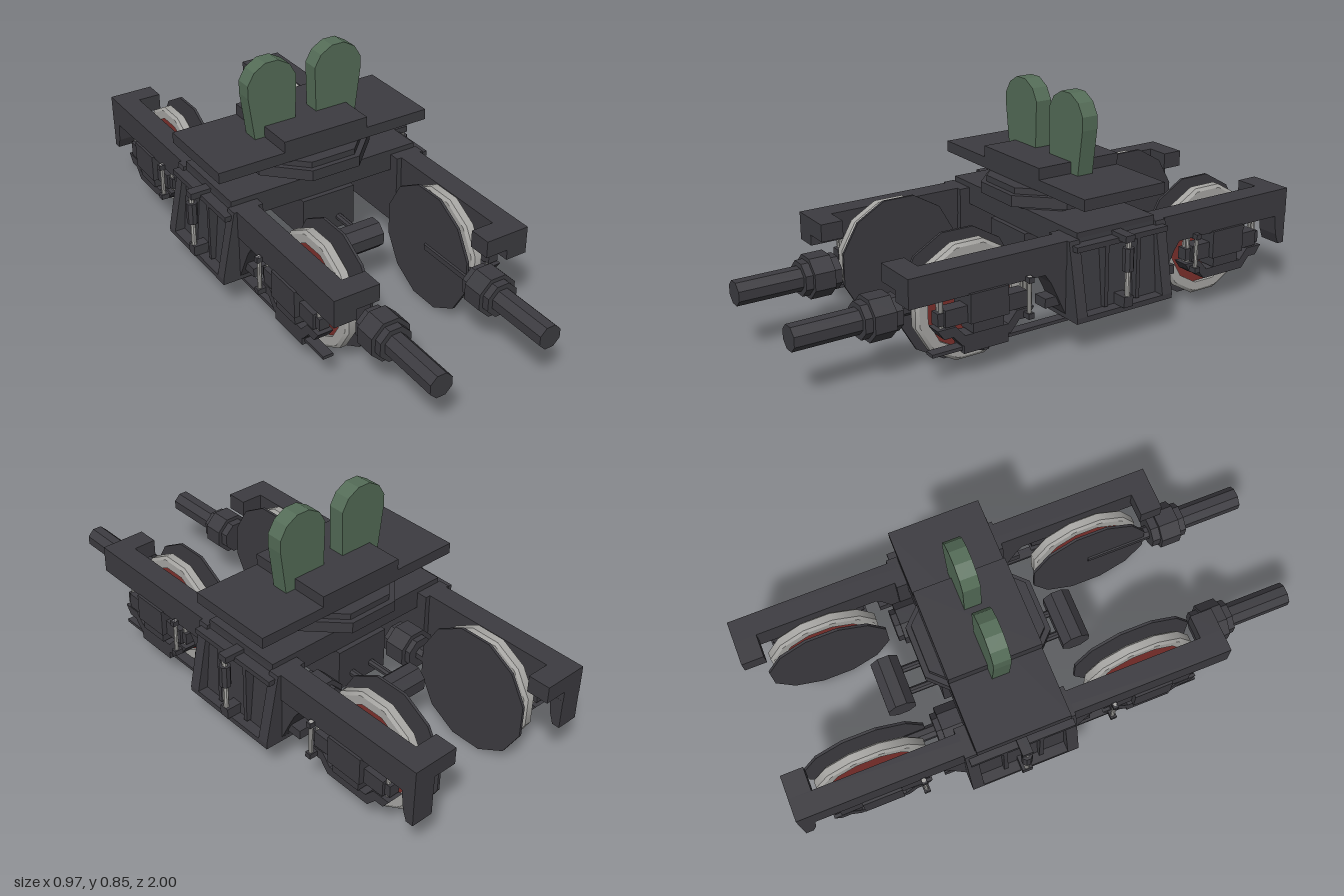
import * as THREE from 'three';

const mat = (name, color) => Object.assign(new THREE.MeshStandardMaterial({ color }), { name });
const CZ = -0.165; // centre of the truck along z

export function createModel() {
  const iron = mat('dark iron', 0x3c3b40);
  const steel = mat('wheel steel', 0xa8a7a4);
  const red = mat('wheel red', 0x7d302c);
  const green = mat('green stop', 0x546c57);
  const model = new THREE.Group();
  model.name = 'railTruck';

  const add = (name, geo, material = iron) => {
    const m = new THREE.Mesh(geo, material);
    m.name = name;
    model.add(m);
    return m;
  };
  const flat = (geo) => {
    const g = geo.index ? geo.toNonIndexed() : geo;
    g.computeVertexNormals();
    return g;
  };
  // box from its limits on each axis
  const box = (name, x0, x1, y0, y1, z0, z1, material) => {
    const g = new THREE.BoxGeometry(Math.abs(x1 - x0), y1 - y0, Math.abs(z1 - z0));
    g.translate((x0 + x1) / 2, (y0 + y1) / 2, (z0 + z1) / 2);
    return add(name, g, material);
  };
  // faceted cylinder along an axis, with a flat side up
  const cyl = (name, axis, r, len, x, y, z, sides = 8, material = iron) => {
    const g = flat(new THREE.CylinderGeometry(r, r, len, sides, 1, false, Math.PI / sides));
    if (axis === 'x') g.rotateZ(Math.PI / 2);
    if (axis === 'z') g.rotateX(Math.PI / 2);
    g.translate(x, y, z);
    return add(name, g, material);
  };
  const shapeOf = (pts) => new THREE.Shape(pts.map(([a, b]) => new THREE.Vector2(a, b)));
  // outline in (x, y), extruded from z0 to z1
  const extrudeZ = (name, pts, z0, z1, material) => {
    const g = new THREE.ExtrudeGeometry(shapeOf(pts), { depth: z1 - z0, bevelEnabled: false });
    g.translate(0, 0, z0);
    return add(name, g, material);
  };
  // outline in (z, y), extruded across x around a centre
  const extrudeX = (name, pts, xc, width, material) => {
    const g = new THREE.ExtrudeGeometry(shapeOf(pts), { depth: width, bevelEnabled: false });
    g.rotateY(-Math.PI / 2);
    g.translate(xc + width / 2, 0, 0);
    return add(name, g, material);
  };

  // Bolster, octagonal pivot plates and top plate
  box('transom', -0.395, 0.395, 0.345, 0.43, CZ - 0.17, CZ + 0.17);
  box('centreBlock', -0.11, 0.11, 0.185, 0.345, CZ - 0.19, CZ + 0.19);
  for (const [half, y0, y1] of [[0.18, 0.43, 0.455], [0.24, 0.455, 0.497], [0.22, 0.497, 0.52]]) {
    cyl('pivotPlate', 'y', half / Math.cos(Math.PI / 8), y1 - y0, 0, (y0 + y1) / 2, CZ);
  }
  box('topPlate', -0.44, 0.44, 0.52, 0.562, CZ - 0.175, CZ + 0.175);
  box('topBlock', -0.175, 0.175, 0.562, 0.605, CZ - 0.175, CZ + 0.175);

  // Round-ended buffers before and behind the bolster
  for (const e of [-1, 1]) {
    cyl('buffer', 'x', 0.057, 0.2, 0, 0.23, CZ + e * 0.35);
    for (const s of [-1, 1]) cyl('bufferRod', 'z', 0.014, 0.16, s * 0.045, 0.23, CZ + e * 0.245);
  }

  for (const s of [-1, 1]) {
    // Green upright stop
    extrudeZ('uprightStop', [
      [0.045, 0.56], [0.04, 0.78], [0.066, 0.825], [0.113, 0.852], [0.165, 0.852],
      [0.211, 0.825], [0.238, 0.78], [0.238, 0.73], [0.215, 0.56],
    ].map(([x, y]) => [s * x, y]), -0.195, -0.13, green);

    // Side beam with inward ends
    box('sideBeam', s * 0.31, s * 0.395, 0.305, 0.41, -1, 0.665);
    box('beamEnd', s * 0.22, s * 0.31, 0.345, 0.41, 0.58, 0.665);
    box('beamEnd', s * 0.22, s * 0.31, 0.345, 0.41, -1, -0.915);
    extrudeX('rearHook', [[-1, 0.305], [-0.945, 0.305], [-0.955, 0.23], [-0.97, 0.19], [-1, 0.19]]
      .map(([z, y]) => [z === -1 ? -0.999 : z, y]), s * 0.352, 0.085);

    // Flared centre box with raised ends, sill and gussets
    const flare = (out) => [[0.29, 0.125], [0.42 + out, 0.125], [0.42 + out, 0.145], [0.395 + out * 0.3, 0.41], [0.29, 0.41]]
      .map(([x, y]) => [s * x, y]);
    extrudeZ('centreBox', flare(0), CZ - 0.18, CZ + 0.18);
    for (const e of [-1, 1]) {
      const c = CZ + e * 0.19;
      extrudeZ('boxEndRib', flare(0.04), c - 0.022, c + 0.022);
      extrudeX('gusset', [
        [0.2, 0.125], [0.215, 0.145], [0.25, 0.22], [0.275, 0.27], [0.3, 0.305], [0.2, 0.305],
      ].map(([z, y]) => [CZ + e * z, y]), s * 0.352, 0.08);
      box('innerRib', s * 0.4, s * 0.437, 0.15, 0.39, CZ + e * 0.07 - 0.008, CZ + e * 0.07 + 0.008);
      box('safetyLug', s * 0.32, s * 0.38, 0.175, 0.21, CZ + e * 0.26 - 0.03, CZ + e * 0.26 + 0.03);
    }
    box('boxSill', s * 0.3, s * 0.46, 0.125, 0.145, CZ - 0.2, CZ + 0.2);
    box('boxLip', s * 0.39, s * 0.437, 0.375, 0.395, CZ - 0.2, CZ + 0.2);

    // Damper standing at the middle of the box
    box('damperTop', s * 0.39, s * 0.475, 0.385, 0.41, CZ - 0.02, CZ + 0.02);
    box('damperFoot', s * 0.41, s * 0.475, 0.145, 0.185, CZ - 0.02, CZ + 0.02);
    cyl('damperRod', 'y', 0.01, 0.21, s * 0.465, 0.285, CZ, 8, steel);
    cyl('damperBody', 'y', 0.021, 0.085, s * 0.465, 0.322, CZ);

    // Wheels and their axle boxes
    for (const e of [-1, 1]) {
      const wz = CZ + e * 0.53;
      cyl('flangeDisc', 'x', 0.238, 0.01, s * 0.2, 0.23, wz, 12);
      const ring = [[0.172, -0.0225], [0.205, -0.0225], [0.205, -0.0225], [0.217, -0.014], [0.217, -0.014],
        [0.217, 0.014], [0.217, 0.014], [0.205, 0.0225], [0.205, 0.0225], [0.172, 0.0225], [0.172, 0.0225], [0.172, -0.0225]]
        .map(([r, h]) => new THREE.Vector2(r, h));
      const tyre = new THREE.LatheGeometry(ring, 12, Math.PI / 12);
      tyre.rotateZ(Math.PI / 2);
      tyre.translate(s * 0.262, 0.23, wz);
      add('tyre', tyre, steel);
      cyl('wheelCentre', 'x', 0.176, 0.014, s * 0.265, 0.23, wz, 12, red);

      box('axleBox', s * 0.3, s * 0.405, 0.205, 0.31, wz - 0.075, wz + 0.075);
      box('axleBoxFoot', s * 0.32, s * 0.395, 0.165, 0.205, wz - 0.06, wz + 0.06);
      extrudeX('yoke', [
        [-0.19, 0.2], [-0.165, 0.165], [-0.13, 0.165], [-0.095, 0.125], [0.095, 0.125], [0.13, 0.165], [0.165, 0.165], [0.19, 0.2],
        [0.12, 0.2], [0.085, 0.16], [-0.085, 0.16], [-0.12, 0.2],
      ].map(([z, y]) => [wz + z, y]), s * 0.355, 0.06);
      for (const f of [-1, 1]) {
        box('springSeat', s * 0.335, s * 0.385, 0.205, 0.265, wz + f * 0.115 - 0.045, wz + f * 0.115 + 0.045);
        for (const d of [-0.009, 0.009]) {
          cyl('springRod', 'y', 0.008, 0.14, s * 0.355 + d, 0.245, wz + f * 0.165, 8, steel);
        }
        box('springClamp', s * 0.335, s * 0.375, 0.21, 0.255, wz + f * 0.165 - 0.018, wz + f * 0.165 + 0.018);
      }
      // Thin hanger on the side facing the centre box
      const hz = wz - e * 0.158;
      cyl('hangerRod', 'y', 0.008, 0.15, s * 0.403, 0.245, hz, 8, steel);
      box('hangerCap', s * 0.385, s * 0.417, 0.3, 0.32, hz - 0.01, hz + 0.01);
      box('hangerFoot', s * 0.34, s * 0.417, 0.17, 0.19, hz - 0.012, hz + 0.012);
    }

    // Pull bar under the front wheel
    box('pullBar', s * 0.335, s * 0.375, 0.105, 0.117, CZ, 0.57);
    box('pullBarBlock', s * 0.322, s * 0.385, 0.095, 0.132, 0.28, 0.455);
    cyl('pullBarBolt', 'y', 0.026, 0.03, s * 0.354, 0.1, 0.365);

    // Drive couplings and shafts
    const sx = s * 0.22;
    cyl('coupling', 'z', 0.082, 0.08, sx, 0.23, 0.692);
    cyl('couplingCollar', 'z', 0.066, 0.14, sx, 0.23, 0.69);
    cyl('driveShaft', 'z', 0.046, 0.29, sx, 0.23, 0.855);
    cyl('rearCoupling', 'z', 0.08, 0.08, sx, 0.23, -0.37);
    cyl('rearCollar', 'z', 0.062, 0.13, sx, 0.23, -0.367);
  }

  // Inner shafts, one to each axle on opposite sides
  cyl('innerShaft', 'z', 0.027, 0.28, 0.215, 0.23, 0.5);
  cyl('innerShaft', 'z', 0.027, 0.28, -0.22, 0.23, -0.56);
  return model;
}
